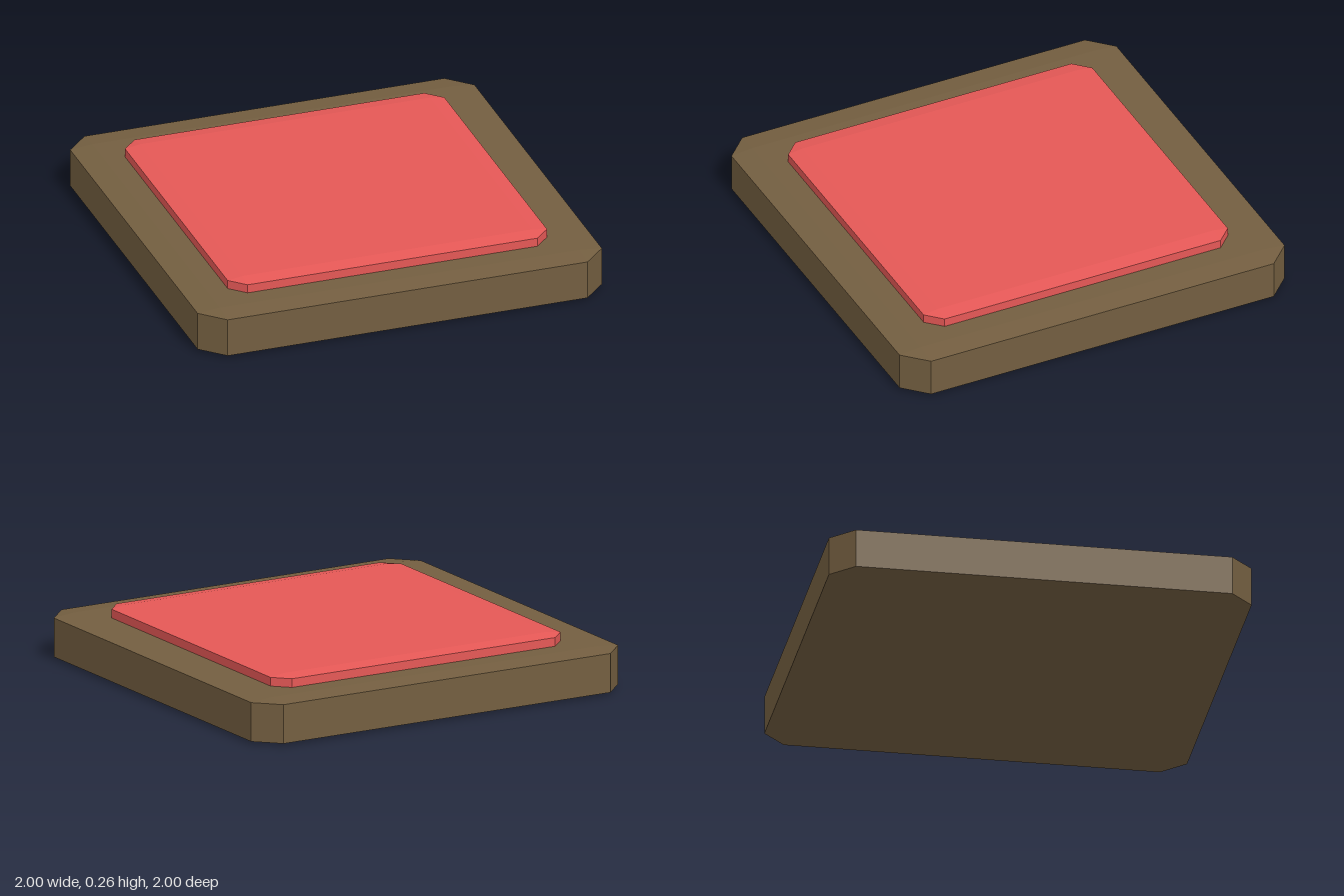
import * as THREE from 'three';
import { ConvexGeometry } from 'three/addons/geometries/ConvexGeometry.js';

// Square slab with every edge chamfered: wide across the faces, shallow in height
function chamferedSlab(name, color, half, inset, bottom, top, rise) {
  const inner = half - inset;
  const points = [];
  for (const sx of [-1, 1]) {
    for (const sz of [-1, 1]) {
      for (const [yFace, yEdge] of [[bottom, bottom + rise], [top, top - rise]]) {
        points.push(
          new THREE.Vector3(sx * inner, yFace, sz * inner),
          new THREE.Vector3(sx * half, yEdge, sz * inner),
          new THREE.Vector3(sx * inner, yEdge, sz * half)
        );
      }
    }
  }
  const material = new THREE.MeshStandardMaterial({ color, flatShading: true });
  const mesh = new THREE.Mesh(new ConvexGeometry(points), material);
  mesh.name = name;
  return mesh;
}

export function createModel() {
  const model = new THREE.Group();
  model.name = 'pressurePlate';
  // Brown base slab
  model.add(chamferedSlab('base', 0x735e40, 1, 0.11, 0, 0.21, 0.011));
  // Red pad, sunk into the base
  model.add(chamferedSlab('pad', 0xe55856, 0.79, 0.073, 0.12, 0.263, 0.011));
  return model;
}
